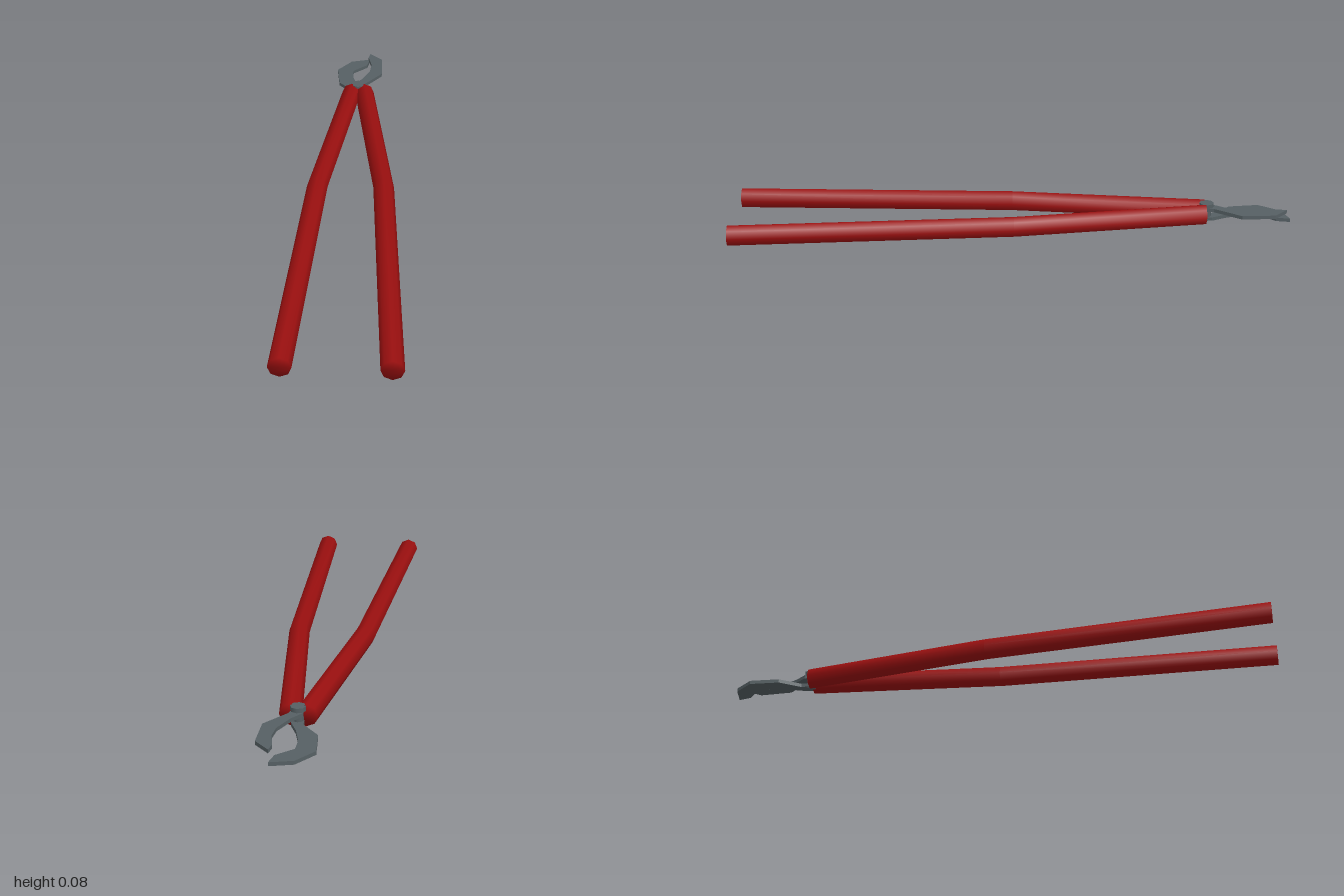
import * as THREE from 'three';

const red = new THREE.MeshStandardMaterial({ color: 0x990f0f });
red.name = 'red grip';
const steel = new THREE.MeshStandardMaterial({ color: 0x566064 });
steel.name = 'grey steel';

// Octagonal bent bar swept through three stations, with shared (smooth) normals
function handleGeometry(side) {
  const stations = [[0.172, 1], [0.12, 0], [0.025, -0.695]];
  const n = 8, r = 0.0375, pos = [], idx = [];
  for (const [x, z] of stations)
    for (let j = 0; j < n; j++) {
      const a = (j / n) * Math.PI * 2;
      pos.push(side * x + r * Math.cos(a), r + r * Math.sin(a), z);
    }
  const last = (stations.length - 1) * n;
  for (let j = 0; j < n; j++) {
    const k = (j + 1) % n;
    for (let s = 0; s < last; s += n)
      idx.push(s + j, s + n + j, s + k, s + n + j, s + n + k, s + k);
  }
  // End caps as fans
  for (let j = 1; j < n - 1; j++) {
    idx.push(0, j, j + 1);
    idx.push(last, last + j + 1, last + j);
  }
  const g = new THREE.BufferGeometry();
  g.setAttribute('position', new THREE.Float32BufferAttribute(pos, 3));
  g.setIndex(idx);
  g.computeVertexNormals();
  return g;
}

// Flat jaw plate: outline points are [x, distance toward the back]
function jawGeometry(points, y, thickness) {
  const shape = new THREE.Shape(points.map(([x, d]) => new THREE.Vector2(x, d)));
  const g = new THREE.ExtrudeGeometry(shape, { depth: thickness, bevelEnabled: false });
  g.rotateX(-Math.PI / 2);
  g.translate(0, y, 0);
  return g;
}

export function createModel() {
  const model = new THREE.Group();
  model.name = 'pliers';
  const add = (name, geometry, material, x = 0, y = 0, z = 0) => {
    const mesh = new THREE.Mesh(geometry, material);
    mesh.name = name;
    mesh.position.set(x, y, z);
    model.add(mesh);
  };

  add('leftHandle', handleGeometry(1), red);
  add('rightHandle', handleGeometry(-1), red);

  // Upper jaw curves out to +x, lower jaw to -x and hooks across the middle
  add('upperJaw', jawGeometry([
    [-0.015, 0.68], [0.02, 0.70], [0.025, 0.725], [0.092, 0.815], [0.09, 0.935],
    [0.04, 0.985], [0.034, 0.95], [0.048, 0.89], [0.043, 0.835], [0.012, 0.765], [-0.02, 0.72],
  ], 0.045, 0.013), steel);
  add('lowerJaw', jawGeometry([
    [0.015, 0.68], [0.02, 0.72], [-0.006, 0.775], [-0.026, 0.845], [-0.026, 0.90],
    [0.028, 0.95], [0.038, 1.0], [-0.038, 0.978], [-0.092, 0.905], [-0.08, 0.797], [-0.022, 0.73], [-0.02, 0.70],
  ], 0.01, 0.013), steel);

  // Pivot bolt
  add('pivotShaft', new THREE.CylinderGeometry(0.018, 0.018, 0.052, 8), steel, 0, 0.034, -0.7);
  add('pivotHead', new THREE.CylinderGeometry(0.026, 0.026, 0.016, 8), steel, 0, 0.065, -0.7);
  return model;
}
